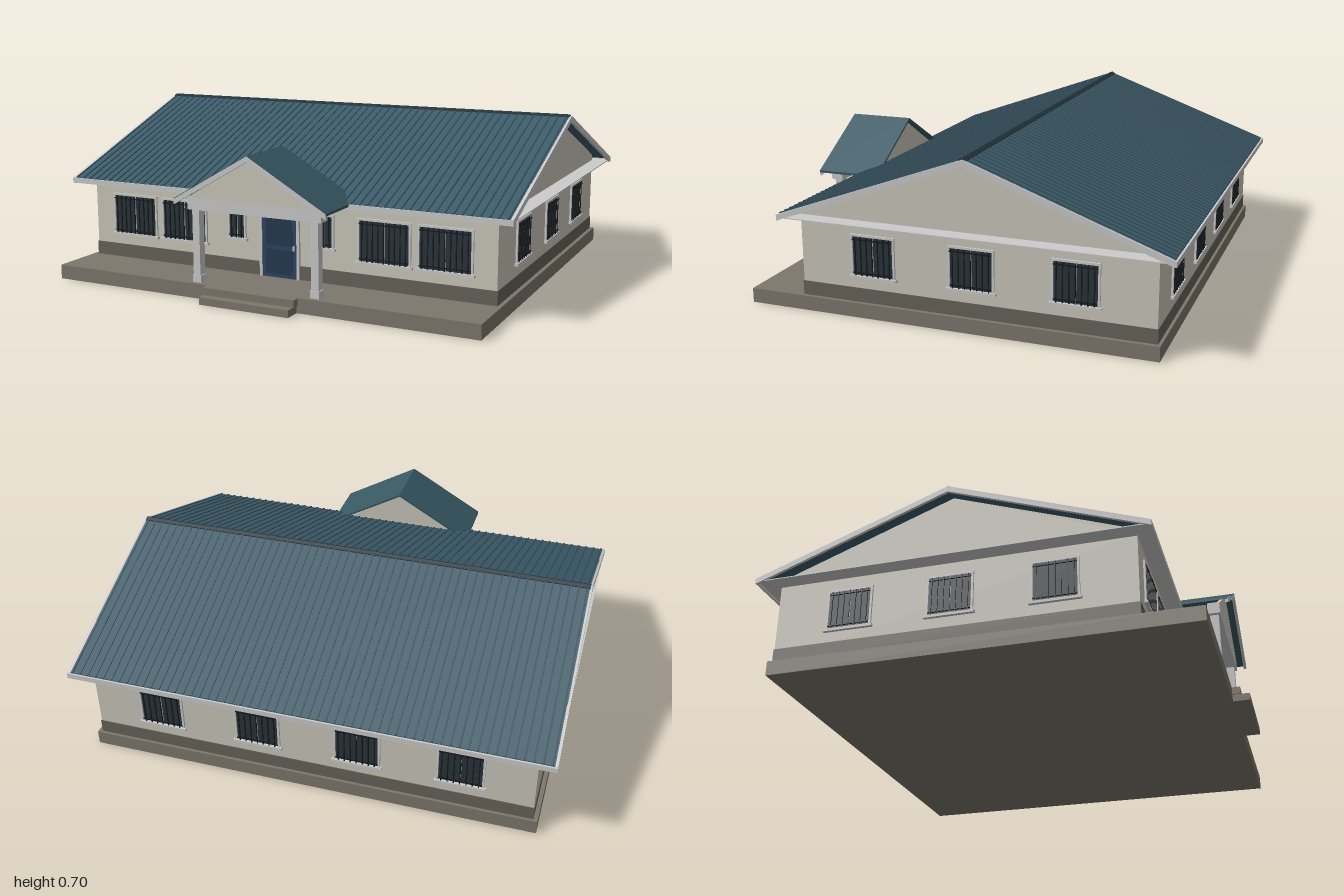
import * as THREE from 'three';

const mat = (color) => new THREE.MeshStandardMaterial({ color, side: THREE.DoubleSide });
const M = {
  wall: mat(0xcbc7bb), trim: mat(0xcccccc), plinth: mat(0x7d786c), band: mat(0x67635a),
  roof: mat(0x3c5b69), rib: mat(0x35515e), ridge: mat(0x22333c), glass: mat(0x28333a),
  bar: mat(0x14181b), door: mat(0x2b4463), panel: mat(0x24374f), porch: mat(0x375863),
};

// Box given by its min and max on each axis
function box(parent, name, m, x0, x1, y0, y1, z0, z1) {
  const mesh = new THREE.Mesh(new THREE.BoxGeometry(x1 - x0, y1 - y0, z1 - z0), m);
  mesh.position.set((x0 + x1) / 2, (y0 + y1) / 2, (z0 + z1) / 2);
  mesh.name = name;
  parent.add(mesh);
  return mesh;
}

// Outline in x/y extruded along z from z0 to z1
function prism(parent, name, m, pts, z0, z1) {
  const shape = new THREE.Shape(pts.map(([x, y]) => new THREE.Vector2(x, y)));
  const geo = new THREE.ExtrudeGeometry(shape, { depth: z1 - z0, bevelEnabled: false });
  geo.translate(0, 0, z0);
  const mesh = new THREE.Mesh(geo, m);
  mesh.name = name;
  parent.add(mesh);
  return mesh;
}

// Inverted V of thickness t
const chevron = (half, eave, peak, t) => [
  [-half, eave], [-half, eave - t], [0, peak - t], [half, eave - t], [half, eave], [0, peak],
];

// Barred window facing +z, centred on its opening
function makeWindow(w, h, bars) {
  const g = new THREE.Group();
  g.name = 'window';
  const a = w / 2, b = h / 2, f = 0.009;
  box(g, 'glass', M.glass, -a, a, -b, b, -0.005, 0.002);
  for (const s of [-1, 1]) {
    box(g, 'frameSide', M.trim, s * (a + f / 2) - f / 2, s * (a + f / 2) + f / 2, -b, b, -0.005, 0.008);
  }
  box(g, 'frameTop', M.trim, -a - f, a + f, b, b + f, -0.005, 0.008);
  box(g, 'sill', M.trim, -a - 0.016, a + 0.016, -b - 0.011, -b, -0.005, 0.014);
  box(g, 'mullion', M.trim, -0.002, 0.002, -b, b, 0, 0.004);
  for (let i = 0; i < bars; i++) {
    const x = -a + (w * (i + 0.5)) / bars;
    box(g, 'bar', M.bar, x - 0.002, x + 0.002, -b, b, 0.007, 0.011);
  }
  for (const y of [-b + 0.012, b - 0.012]) {
    box(g, 'crossBar', M.bar, -a, a, y - 0.002, y + 0.002, 0.006, 0.012);
  }
  return g;
}

export function createModel() {
  const house = new THREE.Group();
  house.name = 'house';
  const W = 0.925, ZF = 0.61, ZB = -0.845;      // wall faces
  const RZ = -0.12, HALF = 0.795, PEAK = 0.7, EAVE = 0.41; // main roof

  // Plinth and entrance steps
  box(house, 'plinth', M.plinth, -0.945, 0.945, 0, 0.06, -0.86, 0.845);
  box(house, 'upperStep', M.plinth, -0.205, 0.205, 0.03, 0.06, 0.845, 0.878);
  box(house, 'lowerStep', M.plinth, -0.2, 0.2, 0, 0.03, 0.845, 0.915);

  // Walls and dark base band
  box(house, 'walls', M.wall, -W, W, 0.06, 0.405, ZB, ZF);
  const e = 0.003;
  box(house, 'baseBandFront', M.band, -W - e, W + e, 0.06, 0.118, ZF, ZF + e);
  box(house, 'baseBandBack', M.band, -W - e, W + e, 0.06, 0.118, ZB - e, ZB);
  for (const s of [-1, 1]) {
    box(house, 'baseBandSide', M.band, s * W - e, s * W + e, 0.06, 0.118, ZB, ZF);
  }

  // Main roof, outlined across the house and then turned so the ridge runs along x
  const roof = new THREE.Group();
  roof.name = 'mainRoof';
  roof.rotation.y = Math.PI / 2;
  roof.position.z = RZ;
  house.add(roof);
  prism(roof, 'roofSheet', M.roof, chevron(HALF - 0.004, EAVE, PEAK, 0.009), -0.99, 0.99);
  for (const s of [-1, 1]) {
    prism(roof, 'bargeBoard', M.trim, chevron(HALF, EAVE - 0.001, PEAK - 0.001, 0.024), s * 0.994 - 0.006, s * 0.994 + 0.006);
    const mid = -(ZF + ZB) / 2 + RZ, hw = (ZF - ZB) / 2;
    const gy = (z) => PEAK - 0.009 - (Math.abs(z) * (PEAK - EAVE)) / HALF;
    prism(roof, 'gableWall', M.wall, [
      [mid - hw, 0.4], [mid + hw, 0.4], [mid + hw, gy(mid + hw)], [0, gy(0)], [mid - hw, gy(mid - hw)],
    ], s * (W - 0.005) - 0.005, s * (W - 0.005) + 0.005);
  }

  // Roof ribs on both slopes
  const slope = Math.atan2(PEAK - EAVE, HALF), len = Math.hypot(HALF, PEAK - EAVE);
  for (const s of [-1, 1]) {
    const side = new THREE.Group();
    side.name = 'roofRibs';
    side.position.set(0, (PEAK + EAVE) / 2, RZ + (s * HALF) / 2);
    side.rotation.x = s * slope;
    for (let i = 0; i <= 56; i++) {
      const x = -0.98 + (i * 1.96) / 56;
      box(side, 'rib', M.rib, x - 0.003, x + 0.003, -0.001, 0.003, -len / 2 + 0.004, len / 2 - 0.004);
    }
    house.add(side);
    // Eave fascia
    const z = RZ + s * HALF;
    box(house, 'fascia', M.trim, -1, 1, 0.386, EAVE - 0.002, z - 0.006, z + 0.002);
  }
  prism(roof, 'ridgeCap', M.ridge, chevron(0.016, 0.698, 0.705, 0.012), -0.992, 0.992);
  box(house, 'soffit', M.trim, -0.995, 0.995, 0.394, 0.398, RZ - HALF + 0.005, RZ + HALF - 0.005);

  // Windows
  const addWindow = (x, y, z, turn, w, h, bars) => {
    const win = makeWindow(w, h, bars);
    win.position.set(x, y, z);
    win.rotation.y = turn;
    house.add(win);
  };
  for (const s of [-1, 1]) {
    addWindow(s * 0.717, 0.253, ZF, 0, 0.21, 0.165, 9);
    addWindow(s * 0.463, 0.253, ZF, 0, 0.21, 0.165, 9);
    addWindow(s * 0.203, 0.272, ZF, 0, 0.07, 0.127, 3);
    for (const x of [0.21, 0.63]) addWindow(s * x, 0.253, ZB, Math.PI, 0.175, 0.16, 7);
    for (const z of [0.295, -0.12, -0.535]) addWindow(s * W, 0.253, z, (s * Math.PI) / 2, 0.172, 0.16, 7);
  }

  // Front door with two panels
  const door = new THREE.Group();
  door.name = 'frontDoor';
  house.add(door);
  box(door, 'doorLeaf', M.door, -0.08, 0.08, 0.06, 0.335, ZF, ZF + 0.008);
  box(door, 'upperPanel', M.panel, -0.06, 0.06, 0.195, 0.315, ZF, ZF + 0.011);
  box(door, 'lowerPanel', M.panel, -0.06, 0.06, 0.075, 0.178, ZF, ZF + 0.011);
  for (const s of [-1, 1]) {
    box(door, 'doorJamb', M.trim, s * 0.086 - 0.006, s * 0.086 + 0.006, 0.06, 0.335, ZF, ZF + 0.012);
  }
  box(door, 'doorHead', M.trim, -0.092, 0.092, 0.335, 0.347, ZF, ZF + 0.012);
  box(door, 'doorHandle', M.trim, 0.066, 0.072, 0.18, 0.2, ZF, ZF + 0.018);

  // Porch: columns, beam, gable and roof
  const porch = new THREE.Group();
  porch.name = 'porch';
  house.add(porch);
  for (const s of [-1, 1]) {
    const x = s * 0.267, z = 0.804;
    box(porch, 'columnBase', M.trim, x - 0.02, x + 0.02, 0.06, 0.09, z - 0.02, z + 0.02);
    box(porch, 'column', M.trim, x - 0.016, x + 0.016, 0.09, 0.36, z - 0.018, z + 0.018);
  }
  box(porch, 'porchBeam', M.trim, -0.3, 0.3, 0.36, 0.41, 0.778, 0.83);
  const gable = [[-0.3, 0.408], [0.3, 0.408], [0, 0.588]];
  prism(porch, 'porchGableFront', M.wall, gable, 0.815, 0.83);
  prism(porch, 'porchGableBack', M.wall, gable, 0.6, 0.61);
  prism(porch, 'porchRoof', M.porch, chevron(0.34, 0.408, 0.602, 0.01), 0.58, 0.868);
  prism(porch, 'porchBargeBoard', M.trim, chevron(0.338, 0.406, 0.6, 0.022), 0.858, 0.87);

  return house;
}
